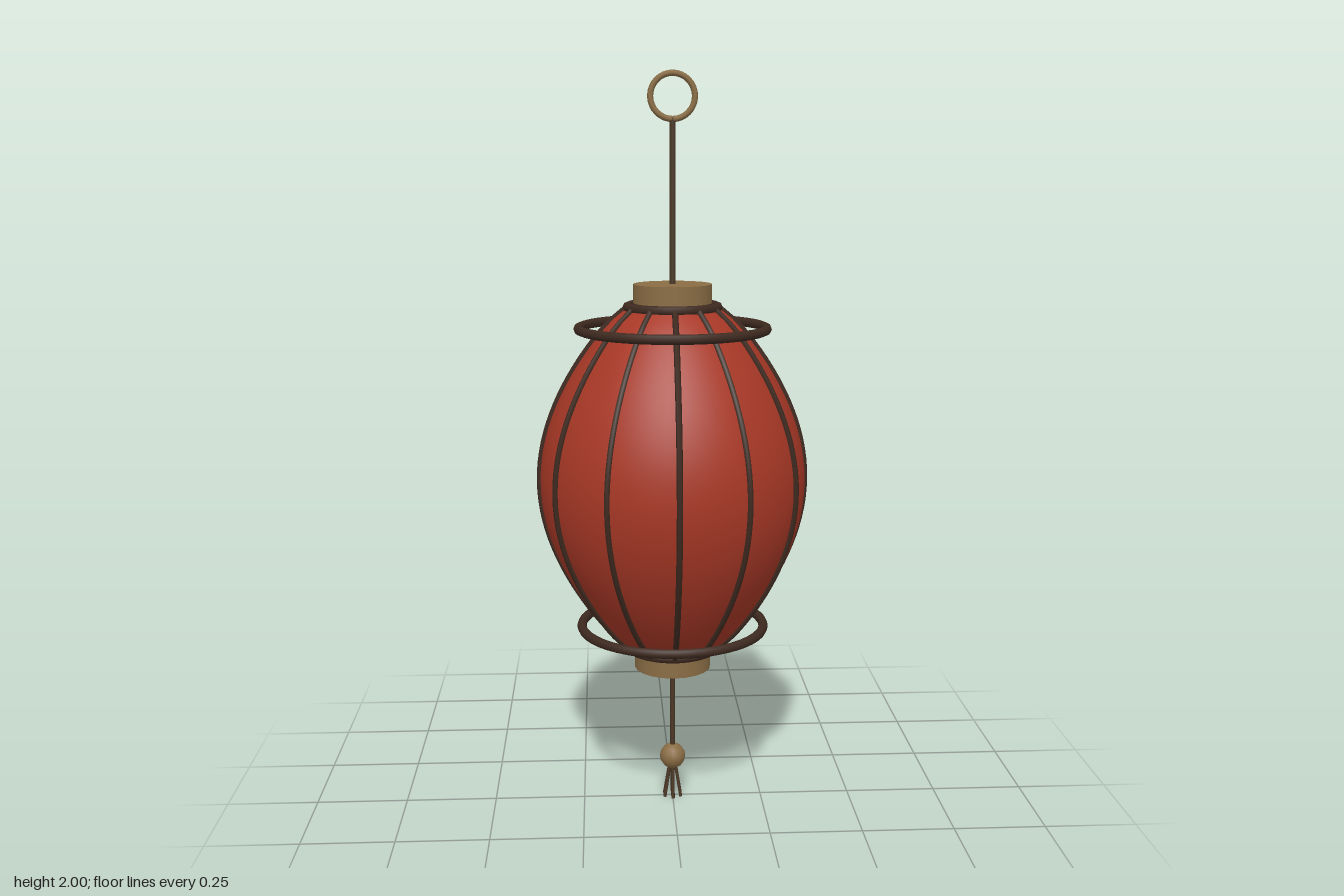
import * as THREE from 'three';

const mat = (name, color) => {
  const m = new THREE.MeshStandardMaterial({ color });
  m.name = name;
  return m;
};

export function createModel() {
  const red = mat('red paper', 0xa83826);
  const wood = mat('dark wood', 0x3e2a20);
  const brass = mat('aged brass', 0x8a6d45);
  const cord = mat('brown cord', 0x4a3826);
  const lantern = new THREE.Group();
  lantern.name = 'lantern';

  const add = (name, geometry, material, y = 0, parent = lantern) => {
    const mesh = new THREE.Mesh(geometry, material);
    mesh.name = name;
    mesh.position.y = y;
    parent.add(mesh);
    return mesh;
  };

  // Shade outline: narrow at both ends, widest in the middle
  const low = 0.45, high = 1.39;
  const outline = (n, grow) => Array.from({ length: n + 1 }, (_, i) => {
    const t = i / n;
    const r = 0.12 + 0.238 * Math.pow(Math.max(0, Math.sin(Math.PI * t)), 0.8);
    return new THREE.Vector2(r + grow, low + (high - low) * t);
  });
  const shade = add('shade', new THREE.LatheGeometry(outline(32, 0), 64), red);
  shade.material.side = THREE.DoubleSide;

  // Twelve ribs following the shade
  const ribs = new THREE.Group();
  ribs.name = 'ribs';
  lantern.add(ribs);
  const ribPath = new THREE.CatmullRomCurve3(
    outline(20, 0.003).map(p => new THREE.Vector3(p.x, p.y, 0)));
  const ribGeometry = new THREE.TubeGeometry(ribPath, 40, 0.008, 6);
  for (let i = 0; i < 12; i++) {
    add('rib', ribGeometry, wood, 0, ribs).rotation.y = i * Math.PI / 6;
  }

  // Collars, outer hoops and end caps, top and bottom
  const collar = new THREE.TorusGeometry(0.12, 0.013, 8, 40);
  const hoop = new THREE.TorusGeometry(0.251, 0.013, 8, 48);
  const cap = new THREE.CylinderGeometry(0.105, 0.105, 0.05, 20);
  for (const [end, collarY, hoopY, capY] of [
    ['upper', 1.39, 1.333, 1.426], ['lower', 0.45, 0.51, 0.413]]) {
    add(end + 'Collar', collar, wood, collarY).rotation.x = Math.PI / 2;
    add(end + 'Hoop', hoop, wood, hoopY).rotation.x = Math.PI / 2;
    add(end + 'Cap', cap, brass, capY);
  }

  // Hanging rod and ring
  add('hangingRod', new THREE.CylinderGeometry(0.008, 0.008, 0.44, 8), cord, 1.66);
  add('hangingRing', new THREE.TorusGeometry(0.058, 0.008, 8, 32), brass, 1.934);

  // Lower cord, bead and tassel strands
  add('lowerCord', new THREE.CylinderGeometry(0.007, 0.007, 0.28, 8), cord, 0.26);
  add('bead', new THREE.SphereGeometry(0.036, 12, 8), brass, 0.12);
  const tassel = new THREE.Group();
  tassel.name = 'tassel';
  lantern.add(tassel);
  for (let i = 0; i < 6; i++) {
    const a = (i + 0.5) * Math.PI / 3;
    const path = new THREE.LineCurve3(
      new THREE.Vector3(Math.cos(a) * 0.006, 0.11, Math.sin(a) * 0.006),
      new THREE.Vector3(Math.cos(a) * 0.026, 0.001, Math.sin(a) * 0.026));
    add('strand', new THREE.TubeGeometry(path, 1, 0.005, 6), cord, 0, tassel);
  }
  return lantern;
}
